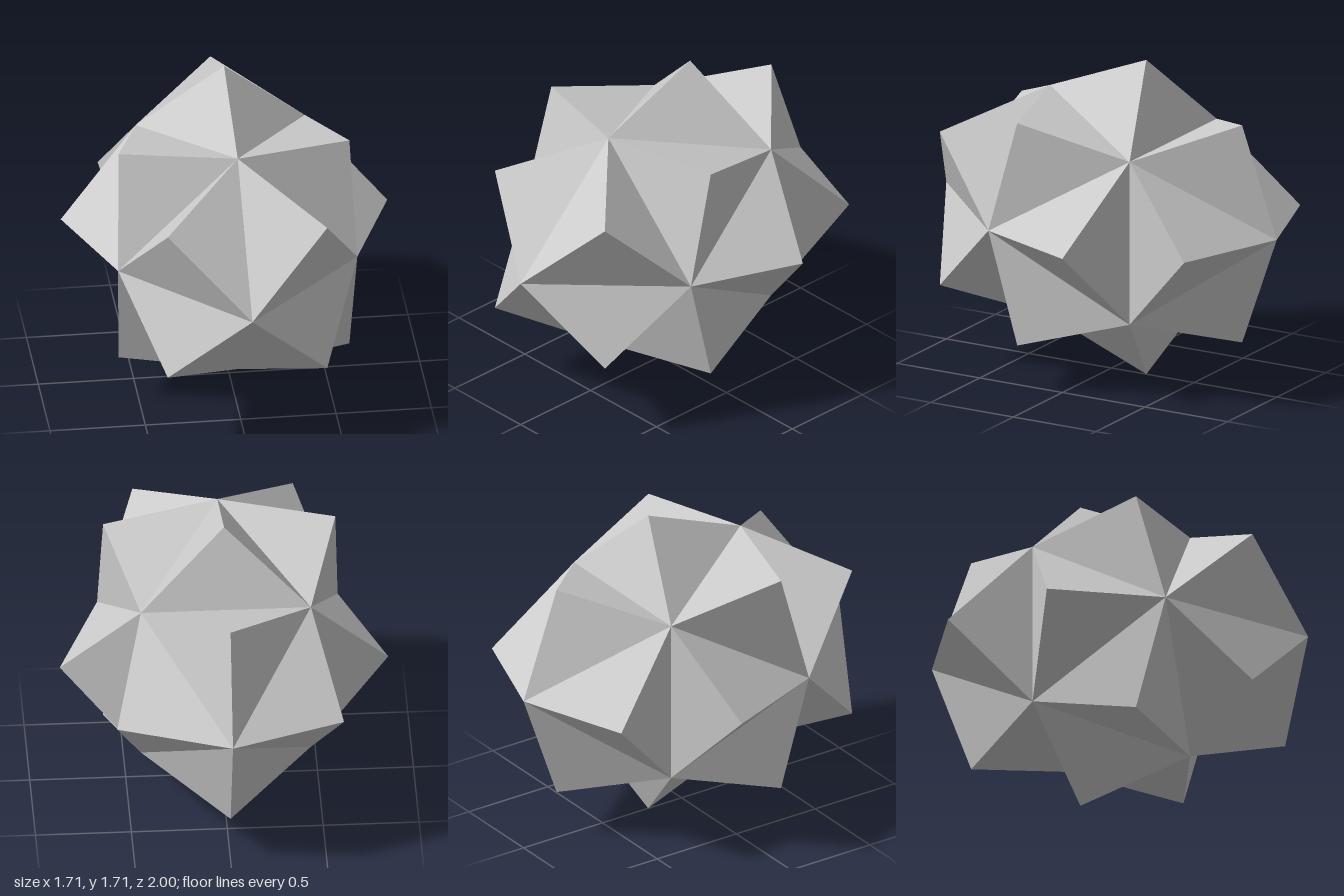
import * as THREE from 'three';

// Core solid: a square antiprism capped by two square pyramids, all edges equal.
// Every one of its 16 equilateral faces carries a cube-corner spike.
const EDGE = 1 / (Math.SQRT1_2 + Math.pow(2, -1.25)); // makes the tip-to-tip length 2
const RADIUS = EDGE * Math.SQRT1_2;
const HALF_BELT = EDGE * Math.pow(2, -1.25);
const SPIKE = EDGE / Math.sqrt(6);

// corner k of a square ring, turned by an offset in eighths of a circle
function corner(k, eighths, z) {
  const t = (k * 2 + eighths) * Math.PI / 4;
  return new THREE.Vector3(RADIUS * Math.cos(t), RADIUS * Math.sin(t), z);
}

// three outer sides of the spike standing on face a, b, c
function addSpike(out, a, b, c) {
  const centre = a.clone().add(b).add(c).divideScalar(3);
  const normal = b.clone().sub(a).cross(c.clone().sub(a)).normalize();
  if (normal.dot(centre) < 0) {
    normal.negate();
    [b, c] = [c, b];
  }
  const peak = centre.addScaledVector(normal, SPIKE);
  for (const [p, q] of [[a, b], [b, c], [c, a]]) out.push(p, q, peak);
}

export function createModel() {
  const model = new THREE.Group();
  model.name = 'spikedPolyhedron';
  const material = new THREE.MeshStandardMaterial({ color: 0xcccccc, flatShading: true });

  const frontTip = new THREE.Vector3(0, 0, 1);
  const backTip = new THREE.Vector3(0, 0, -1);
  const front = (k) => corner(k, 0, HALF_BELT);
  const back = (k) => corner(k, 1, -HALF_BELT);

  // four rings of four spikes, from front to back
  const rings = {
    frontSpikes: (k) => [frontTip, front(k), front(k + 1)],
    frontBeltSpikes: (k) => [front(k), front(k + 1), back(k)],
    backBeltSpikes: (k) => [back(k), back(k + 1), front(k + 1)],
    backSpikes: (k) => [backTip, back(k), back(k + 1)],
  };

  for (const [name, face] of Object.entries(rings)) {
    const points = [];
    for (let k = 0; k < 4; k++) addSpike(points, ...face(k));
    const geometry = new THREE.BufferGeometry().setFromPoints(points);
    geometry.computeVertexNormals();
    const mesh = new THREE.Mesh(geometry, material);
    mesh.name = name;
    model.add(mesh);
  }

  // stand the lowest spike on the ground
  const bottom = new THREE.Box3().setFromObject(model).min.y;
  for (const mesh of model.children) mesh.position.y = -bottom;
  return model;
}
